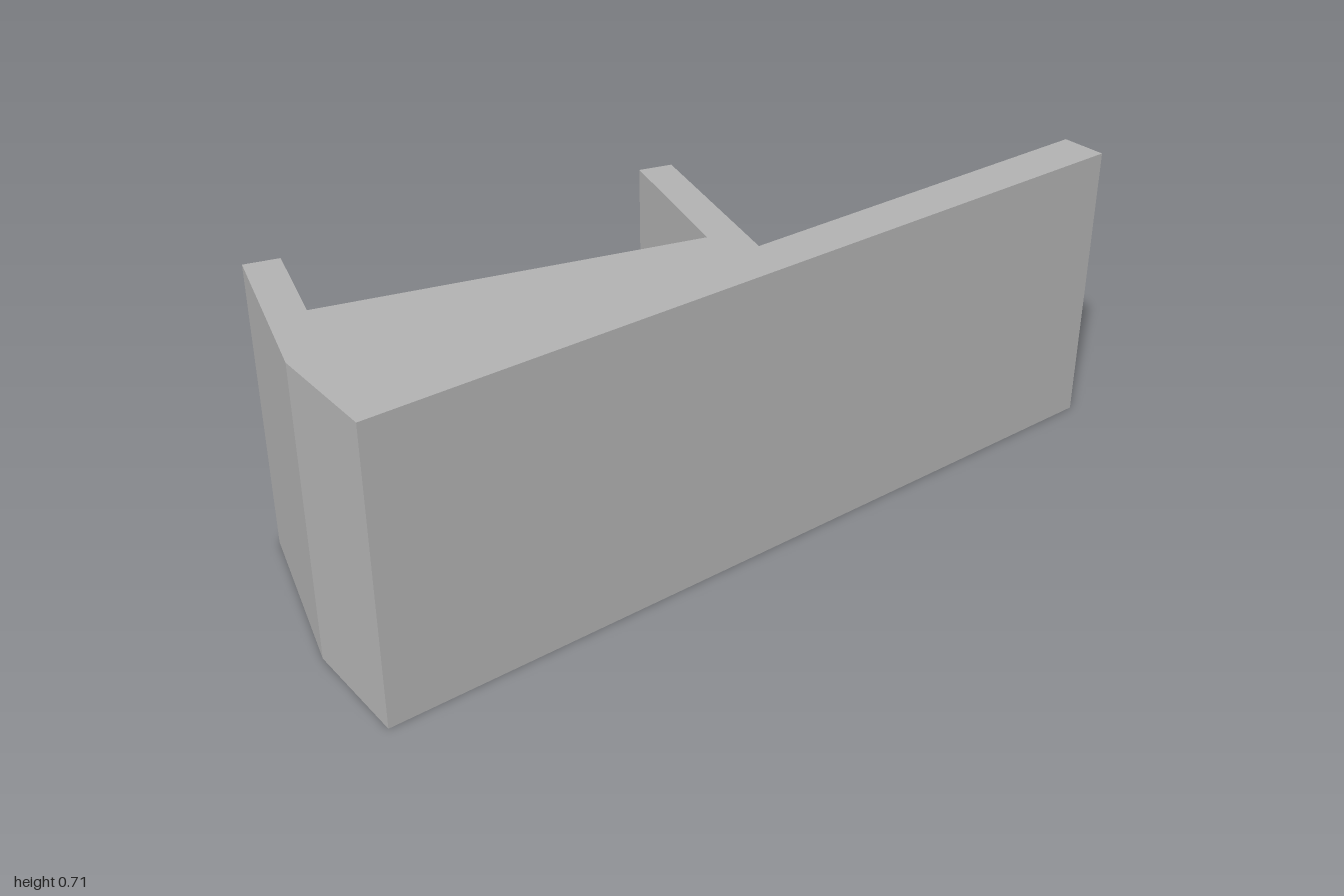
import * as THREE from 'three';

const HEIGHT = 0.706;

// Plan outline as [x, z]
const OUTLINE = [
  [-1, 0.353], [1, 0.353], [1, 0.24], [0.027, 0.24],   // front wall
  [0.148, -0.223], [0.07, -0.244], [-0.033, 0.138],    // middle fin
  [-0.87, -0.086], [-0.804, -0.332], [-0.882, -0.353], // sloped back and end fin
  [-1, 0.08],
];

export function createModel() {
  const model = new THREE.Group();
  model.name = 'bracket';

  const grey = new THREE.MeshStandardMaterial({ color: 0xb2b2b2 });
  grey.name = 'light grey';

  // Constant-section profile extruded upwards
  const shape = new THREE.Shape(OUTLINE.map(([x, z]) => new THREE.Vector2(x, -z)));
  const geometry = new THREE.ExtrudeGeometry(shape, { depth: HEIGHT, bevelEnabled: false });
  geometry.rotateX(-Math.PI / 2);

  const body = new THREE.Mesh(geometry, grey);
  body.name = 'bracketProfile';
  model.add(body);
  return model;
}
